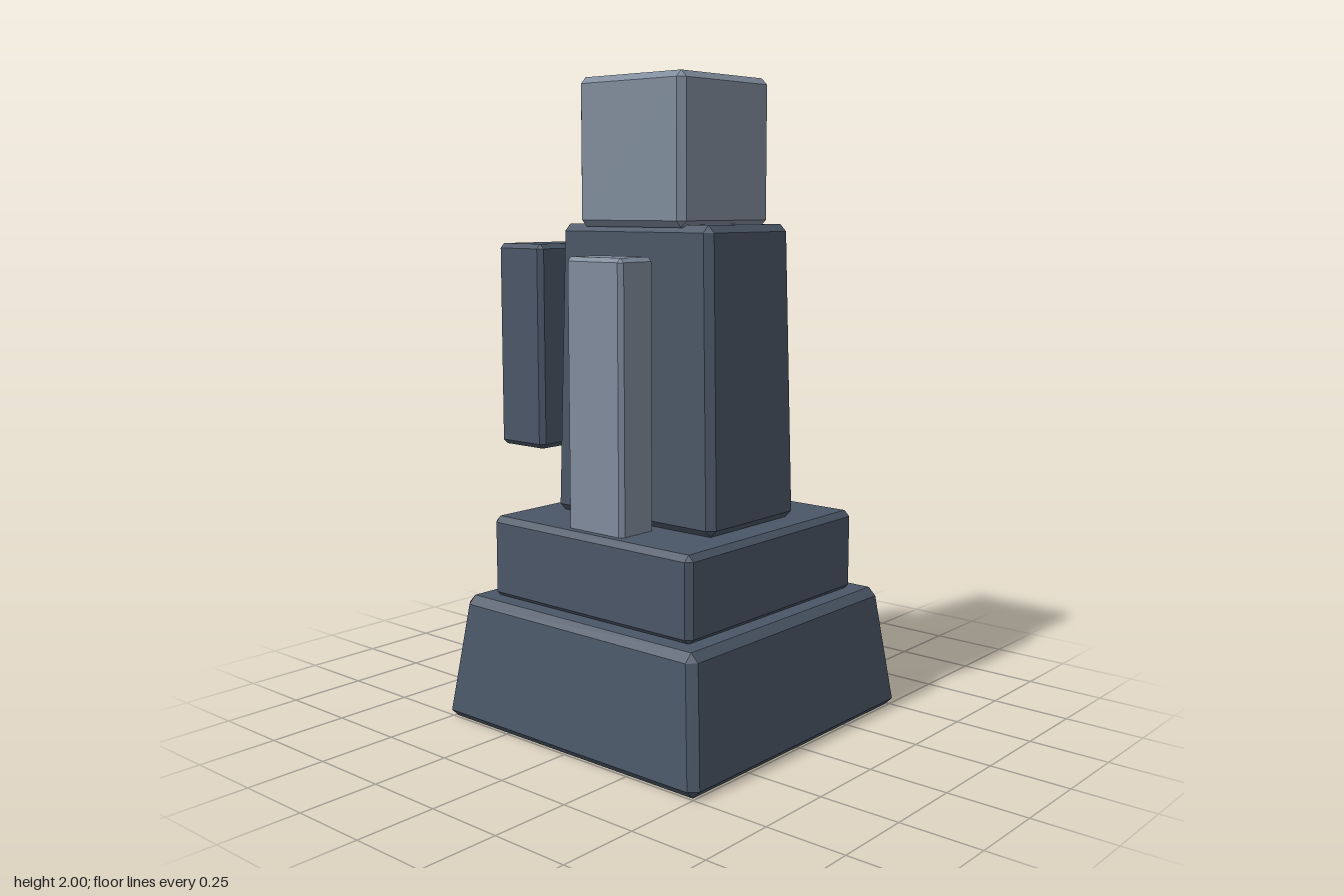
import * as THREE from 'three';
import { ConvexGeometry } from 'three/addons/geometries/ConvexGeometry.js';

// Box with bevelled edges: x and z run between limits, top may be narrower
function bevelBox(width, height, depth, bevel, topX = 1, topZ = 1) {
  const points = [];
  for (const sx of [-1, 1]) for (const sy of [-1, 1]) for (const sz of [-1, 1]) {
    const w = (width / 2) * (sy > 0 ? topX : 1);
    const d = (depth / 2) * (sy > 0 ? topZ : 1);
    const h = height / 2;
    points.push(
      new THREE.Vector3(sx * w, sy * (h - bevel), sz * (d - bevel)),
      new THREE.Vector3(sx * (w - bevel), sy * h, sz * (d - bevel)),
      new THREE.Vector3(sx * (w - bevel), sy * (h - bevel), sz * d)
    );
  }
  return new ConvexGeometry(points);
}

export function createModel() {
  const model = new THREE.Group();
  model.name = 'blockStatue';

  const darkStone = new THREE.MeshStandardMaterial({ color: 0x4a5666 });
  darkStone.name = 'darkStone';
  const paleStone = new THREE.MeshStandardMaterial({ color: 0x7f8b9b });
  paleStone.name = 'paleStone';

  // Place a block by its bottom and top heights and its centre in x and z
  function block(name, material, [width, depth], [bottom, top], [x, z], bevel, topX, topZ) {
    const mesh = new THREE.Mesh(bevelBox(width, top - bottom, depth, bevel, topX, topZ), material);
    mesh.name = name;
    mesh.position.set(x, (bottom + top) / 2, z);
    model.add(mesh);
  }

  // Stepped pedestal
  block('base', darkStone, [1.03, 1.03], [0, 0.395], [0, 0], 0.025, 0.915, 0.915);
  block('plinth', darkStone, [0.81, 0.81], [0.39, 0.65], [0, 0], 0.018);

  // Figure: tapered body and cubic head
  block('body', darkStone, [0.645, 0.415], [0.65, 1.56], [0, 0], 0.022, 0.93, 0.94);
  block('head', paleStone, [0.42, 0.42], [1.552, 2], [0, 0], 0.02);

  // Slab held at the right side and upright bar in front
  block('sideSlab', darkStone, [0.195, 0.39], [0.85, 1.497], [-0.4225, 0.065], 0.015);
  block('frontBar', paleStone, [0.225, 0.145], [0.635, 1.467], [0, 0.292], 0.013);

  return model;
}
